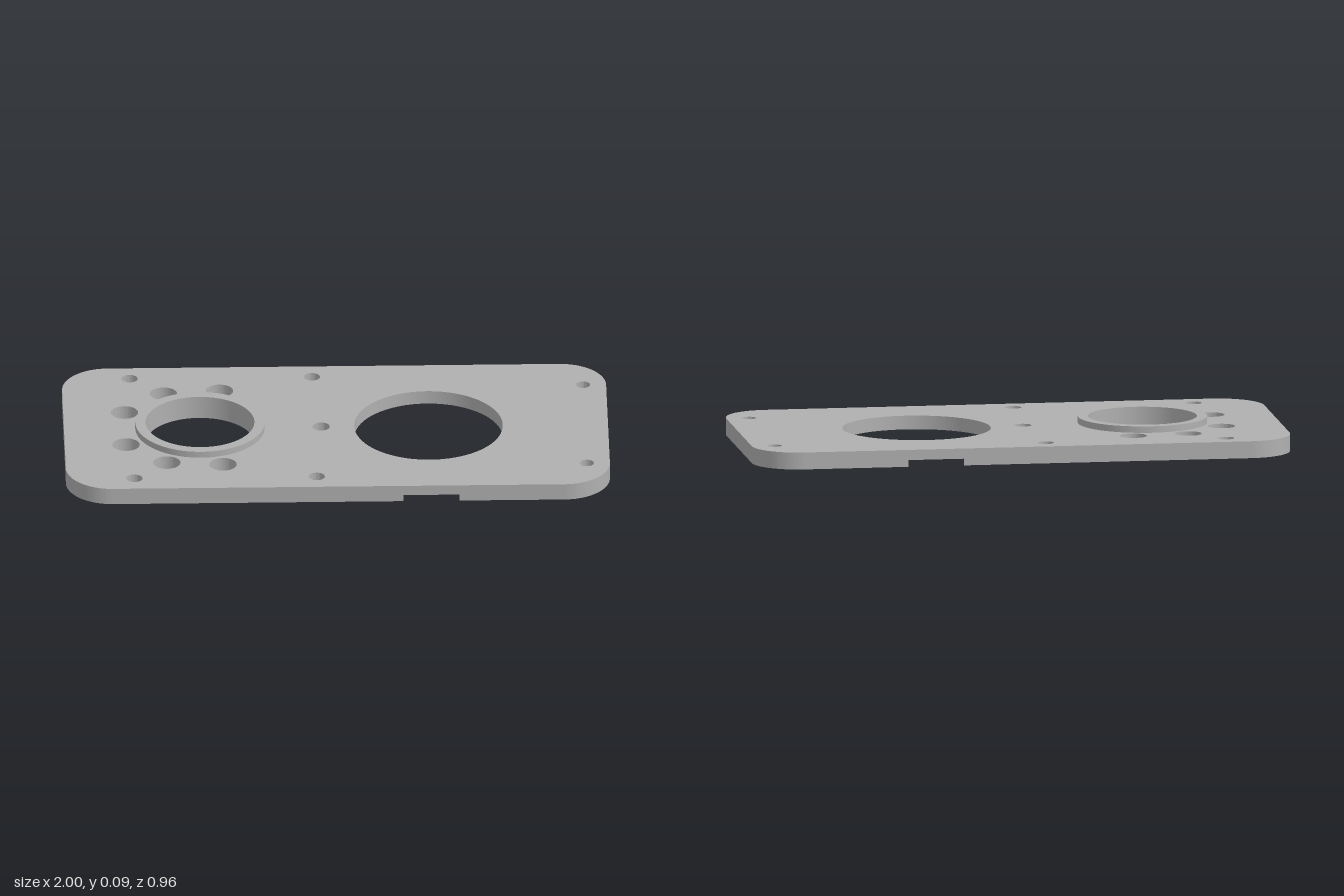
import * as THREE from 'three';
import { mergeGeometries, toCreasedNormals } from 'three/addons/utils/BufferGeometryUtils.js';

const SEG = 48;
const HALF_Z = 0.48, CORNER = 0.17;
const FLOOR = 0.025, TOP = 0.063, COLLAR_TOP = 0.087, RIM_BOTTOM = 0.012;
const BORE = [-0.5, 0, 0.2], COLLAR = [-0.5, 0, 0.238];
const OPENING = [0.34, 0, 0.273], RIM = [0.34, 0, 0.312];
const RECESS = 0.491;
const NOTCH = Math.asin(HALF_Z / RECESS); // where the recess breaks through the long edges

const mirrorZ = list => list.flatMap(([x, z, r]) => [[x, z, r], [x, -z, r]]);

// Holes, as [x, z, radius]
const ringHoles = mirrorZ([75, 115, 155].map(d => {
  const a = THREE.MathUtils.degToRad(d);
  return [-0.5 + 0.303 * Math.cos(a), 0.303 * Math.sin(a), 0.05];
}));
const leftHoles = [...ringHoles, ...mirrorZ([[-0.75, 0.397, 0.03], [-0.08, 0.397, 0.03]])];
const rightHoles = mirrorZ([[0.915, 0.312, 0.026]]);
const middleHole = [-0.055, 0, 0.032];

function punch(shape, holes) {
  for (const [x, z, r] of holes) {
    shape.holes.push(new THREE.Path().absarc(x, z, r, 0, Math.PI * 2, true));
  }
  return shape;
}

const disc = ([x, z, r], holes) =>
  punch(new THREE.Shape().absarc(x, z, r, 0, Math.PI * 2, false), holes);

// Two rounded corners at one end of the plate
function roundEnd(shape, side) {
  const x = side * (1 - CORNER), z = HALF_Z - CORNER, q = Math.PI / 2;
  if (side > 0) {
    shape.absarc(x, -z, CORNER, -q, 0, false);
    shape.absarc(x, z, CORNER, 0, q, false);
  } else {
    shape.absarc(x, z, CORNER, q, 2 * q, false);
    shape.absarc(x, -z, CORNER, 2 * q, 3 * q, false);
  }
  return shape;
}

function plate(holes) {
  const s = roundEnd(roundEnd(new THREE.Shape(), 1), -1);
  s.closePath();
  return punch(s, holes);
}

// Lower part of the plate on one side of the round recess
function lowerEnd(side, holes) {
  const s = roundEnd(new THREE.Shape(), side);
  if (side > 0) s.absarc(OPENING[0], 0, RECESS, NOTCH, -NOTCH, true);
  else s.absarc(OPENING[0], 0, RECESS, Math.PI + NOTCH, Math.PI - NOTCH, true);
  s.closePath();
  return punch(s, holes);
}

function recessFloor(holes) {
  const s = new THREE.Shape();
  s.absarc(OPENING[0], 0, RECESS, -NOTCH, NOTCH, false);
  s.absarc(OPENING[0], 0, RECESS, Math.PI - NOTCH, Math.PI + NOTCH, false);
  s.closePath();
  return punch(s, holes);
}

// Upright walls of a shape, without its end faces
function walls(shape, y0, y1) {
  const g = new THREE.ExtrudeGeometry(shape, { depth: y1 - y0, bevelEnabled: false, curveSegments: SEG });
  const { start, count } = g.groups[1];
  const out = new THREE.BufferGeometry();
  out.setAttribute('position', new THREE.BufferAttribute(
    g.attributes.position.array.slice(start * 3, (start + count) * 3), 3));
  out.rotateX(-Math.PI / 2).translate(0, y0, 0);
  return toCreasedNormals(out, 0.6);
}

// Flat face of a shape, looking up or down
function face(shape, y, up) {
  const g = new THREE.ShapeGeometry(shape, SEG).toNonIndexed();
  g.deleteAttribute('uv');
  return g.rotateX(up ? -Math.PI / 2 : Math.PI / 2).translate(0, y, 0);
}

export function createModel() {
  const group = new THREE.Group();
  const metal = new THREE.MeshStandardMaterial({ color: 0xb0b0b0 });
  metal.name = 'grey metal';

  const add = (name, parts) => {
    const mesh = new THREE.Mesh(mergeGeometries(parts), metal);
    mesh.name = name;
    group.add(mesh);
  };

  const small = [...leftHoles, ...rightHoles, middleHole];
  const left = lowerEnd(-1, [...leftHoles, BORE]);
  const right = lowerEnd(1, rightHoles);
  const collar = disc(COLLAR, [BORE]);
  const rim = disc(RIM, [OPENING]);

  // Plate with its holes and the wide recess underneath
  add('plate', [
    walls(plate([...small, BORE, OPENING]), FLOOR, TOP),
    face(plate([...small, COLLAR, OPENING]), TOP, true),
  ]);
  add('leftUnderside', [walls(left, 0, FLOOR), face(left, 0, false)]);
  add('rightUnderside', [walls(right, 0, FLOOR), face(right, 0, false)]);
  add('recessFloor', [face(recessFloor([RIM, middleHole]), FLOOR, false)]);

  // Raised collar on top and shallow rim around the large opening below
  add('collar', [walls(collar, TOP, COLLAR_TOP), face(collar, COLLAR_TOP, true)]);
  add('openingRim', [walls(rim, RIM_BOTTOM, FLOOR), face(rim, RIM_BOTTOM, false)]);
  return group;
}
